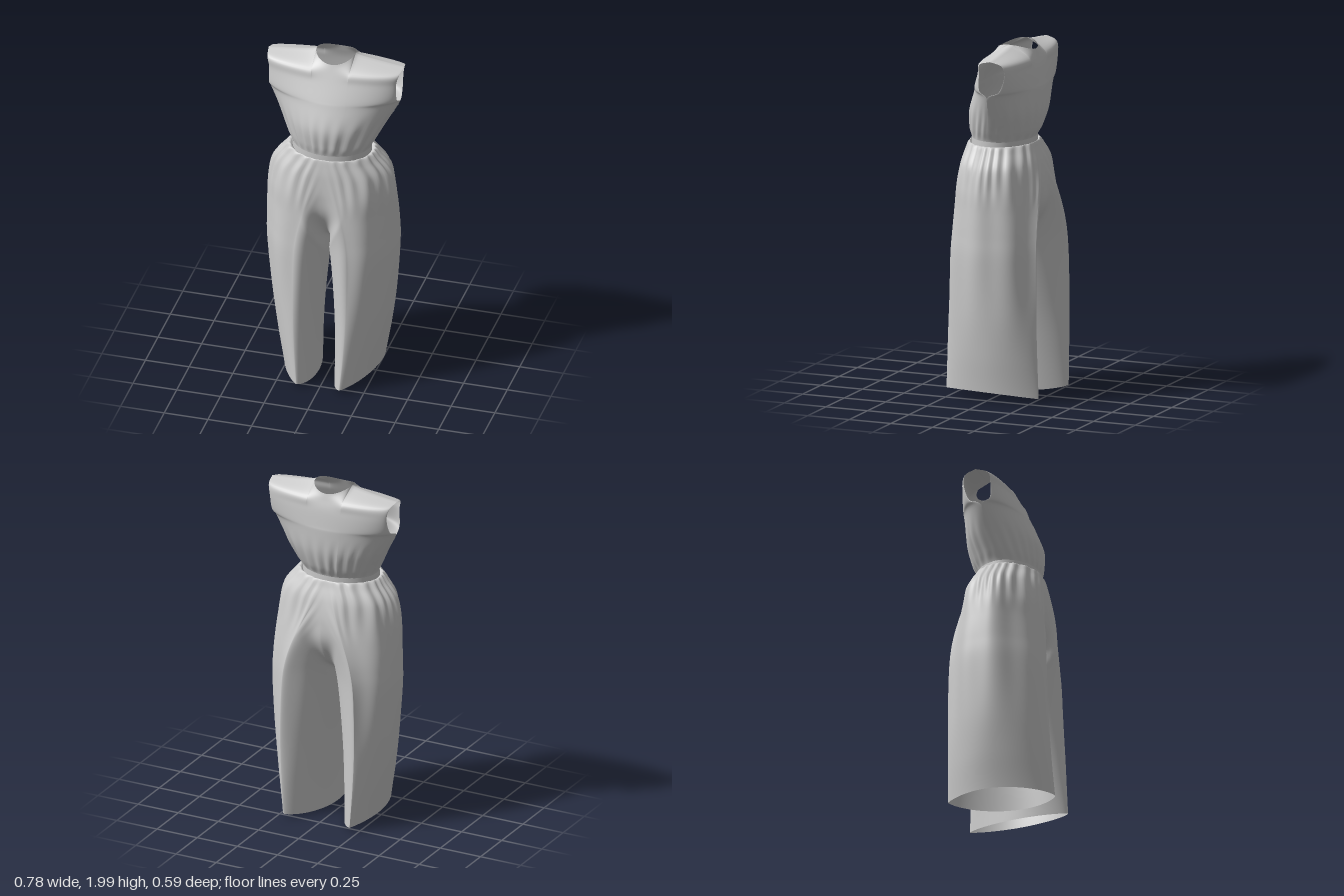
import * as THREE from 'three';
import { mergeVertices } from 'three/addons/utils/BufferGeometryUtils.js';

const cloth = new THREE.MeshStandardMaterial({ color: 0xcccccc, side: THREE.DoubleSide });
const { lerp, smoothstep } = THREE.MathUtils;

// Collects several point grids into one smooth, welded surface
class Surface {
  positions = [];
  indices = [];
  addGrid(nu, nv, point, flip = false, keep = () => true) {
    const base = this.positions.length / 3;
    const pts = [];
    for (let j = 0; j <= nv; j++)
      for (let i = 0; i <= nu; i++) {
        const p = point(i, j);
        pts.push(p);
        this.positions.push(p.x, p.y, p.z);
      }
    const tri = (a, b, c) => {
      if (!keep(pts[a], pts[b], pts[c])) return;
      this.indices.push(base + a, base + (flip ? c : b), base + (flip ? b : c));
    };
    for (let j = 0; j < nv; j++)
      for (let i = 0; i < nu; i++) {
        const a = j * (nu + 1) + i, b = a + 1, c = a + nu + 1, d = c + 1;
        tri(a, b, d);
        tri(a, d, c);
      }
  }
  mesh(name) {
    let g = new THREE.BufferGeometry();
    g.setAttribute('position', new THREE.Float32BufferAttribute(this.positions, 3));
    g.setIndex(this.indices);
    g = mergeVertices(g, 1e-4);
    g.computeVertexNormals();
    const m = new THREE.Mesh(g, cloth);
    m.name = name;
    return m;
  }
}

// Smooth interpolation between the rows of a table
function sampleRows(rows, t) {
  const k = Math.min(Math.floor(t), rows.length - 2), f = t - k;
  const row = (i) => rows[Math.max(0, Math.min(rows.length - 1, i))];
  return rows[k].map((_, c) => {
    const p0 = row(k - 1)[c], p1 = row(k)[c], p2 = row(k + 1)[c], p3 = row(k + 2)[c];
    const m1 = (p2 - p0) / 2, m2 = (p3 - p1) / 2, d = p1 - p2;
    return p1 + f * (m1 + f * (-3 * d - 2 * m1 - m2 + f * (2 * d + m1 + m2)));
  });
}

// Bodice: front and back panels, joined below the armholes and along the shoulders
function buildBodice() {
  // y, half width, front edge z, back edge z, front centre z, back centre z,
  // then the taper towards the sides: front, back
  const levels = [
    [1.42, 0.218, 0.0, 0.0, 0.17, -0.162, 1, 1],
    [1.46, 0.221, 0.0, 0.0, 0.175, -0.167, 1, 1],
    [1.52, 0.252, -0.005, -0.005, 0.186, -0.196, 1.15, 1],
    [1.62, 0.305, -0.03, -0.03, 0.184, -0.22, 1.3, 0.95],
    [1.74, 0.37, -0.05, -0.05, 0.138, -0.226, 1.35, 1.05],
    [1.78, 0.366, -0.003, -0.12, 0.12, -0.223, 1.4, 1.2],
    [1.87, 0.363, 0.0, -0.152, 0.075, -0.211, 1.4, 1.3],
    [1.93, 0.376, -0.01, -0.14, 0.046, -0.194, 1.4, 1.4],
  ];
  const underarm = 4, steps = 7, shoulderX = 0.388, neckX = 0.112, neckZ = -0.077;
  // Angles across a panel, finer along the neckline
  const angles = [], neckAngle = Math.asin(neckX / shoulderX);
  const outer = 26, inner = 24;
  for (let i = 0; i < outer; i++) angles.push(lerp(-Math.PI / 2, -neckAngle, i / outer));
  for (let i = 0; i <= inner; i++)
    angles.push(Math.asin((neckX / shoulderX) * Math.sin(lerp(-Math.PI / 2, Math.PI / 2, i / inner))));
  for (let i = 1; i <= outer; i++) angles.push(lerp(neckAngle, Math.PI / 2, i / outer));

  const surface = new Surface();
  for (const side of [1, -1]) {
    const columns = angles.map((a) => {
      const s = Math.sin(a), c = Math.max(0, Math.cos(a)), edge = Math.abs(s) > 0.9999;
      const pts = levels.map(([y, w, ef, eb, cf, cb, tf, tb]) => side > 0
        ? new THREE.Vector3(w * s, y, lerp(ef, cf, Math.pow(c, tf)))
        : new THREE.Vector3(-w * s, y, lerp(eb, cb, Math.pow(c, tb))));
      // top end: shoulder seam or neckline
      const x = side * shoulderX * s, q = Math.abs(x) / neckX;
      const dip = Math.sqrt(Math.max(0, 1 - q * q));
      const seam = Math.max(0, (Math.abs(x) - neckX) / (shoulderX - neckX));
      const top = q < 1 ? 1.995 - 0.032 * dip * dip : lerp(1.995, 1.952, Math.pow(seam, 0.7));
      pts.push(new THREE.Vector3(x, top, neckZ + side * 0.107 * dip));
      const curve = new THREE.CatmullRomCurve3(pts, false, 'catmullrom', 0.5);
      return { curve, pts, edge, c, a };
    });
    const nv = levels.length * steps;
    surface.addGrid(angles.length - 1, nv, (i, j) => {
      const { curve, pts, edge, c, a } = columns[i];
      const p = curve.getPoint(j / nv);
      const k = Math.floor(j / steps);
      if (edge && k < underarm) p.z = lerp(pts[k].z, pts[k + 1].z, j / steps - k);
      // gathers rising from the waist
      const fade = smoothstep(p.y, 1.45, 1.51) * (1 - smoothstep(p.y, 1.53, 1.72));
      const f = 1 + 0.022 * fade * Math.min(1, c * 2) * Math.sin(25 * a + 2 * Math.sin(3 * a + side));
      p.x *= f;
      p.z *= f;
      return p;
    });
  }
  return surface.mesh('bodice');
}

// Trousers: two wide legs that share the hips and part at the crotch
function buildTrousers() {
  // y, centre x, half width, front z, back z, skew of x along z, pointedness,
  // then the centre seam: front z, back z, width of the rounded body beside it
  const rows = [
    [1.425, 0.0, 0.22, 0.178, -0.168, 0, 1, 0.178, -0.168, 0.1],
    [1.436, 0.0, 0.242, 0.188, -0.178, 0, 1, 0.187, -0.177, 0.1],
    [1.4, 0.01, 0.262, 0.198, -0.196, 0, 1, 0.196, -0.19, 0.12],
    [1.32, 0.04, 0.29, 0.214, -0.225, -0.02, 1, 0.208, -0.218, 0.13],
    [1.2, 0.09, 0.267, 0.233, -0.248, -0.06, 1.1, 0.213, -0.24, 0.13],
    [1.08, 0.135, 0.23, 0.242, -0.261, -0.1, 1.25, 0.195, -0.235, 0.12],
    [0.95, 0.17, 0.198, 0.25, -0.27, -0.12, 1.3, 0.12, -0.16, 0.06],
    [0.8, 0.187, 0.18, 0.26, -0.275, -0.13, 1.3, 0, 0, 0.01],
    [0.5, 0.19, 0.151, 0.272, -0.282, -0.14, 1.3, 0, 0, 0.01],
    [0.25, 0.18, 0.125, 0.285, -0.287, -0.14, 1.3, 0, 0, 0.01],
    [0.035, 0.165, 0.105, 0.3, -0.29, -0.14, 1.4, 0, 0, 0.01],
  ];
  const nu = 144, steps = 8, nv = (rows.length - 1) * steps;
  const legPoint = (i, j) => {
    const [y, cx, rx, zf, zb, skew, pw, seamF, seamB, seamW] = sampleRows(rows, j / steps);
    const a = ((i % nu) / nu) * Math.PI * 2;
    const c = Math.cos(a), s = Math.sin(a);
    // fine gathers at the waist, long soft folds below
    const mask = smoothstep(c, -0.75, 0.1);
    const gathers = 0.028 * smoothstep(j, 1, 14) * smoothstep(y, 1.08, 1.38)
      * Math.sin(25 * a + 2 * Math.sin(4 * a));
    const folds = 0.03 * smoothstep(y, 0.25, 0.85) * (1 - smoothstep(y, 1.2, 1.42))
      * Math.sin(7 * a + 0.6 + 0.8 * Math.sin(2 * a));
    const f = 1 + mask * (gathers + folds);
    // the outside of the leg narrows more towards the back
    const taper = pw + (s < 0 && c > 0 ? 0.4 * (1 - smoothstep(y, 1.15, 1.4)) : 0);
    const dx = rx * Math.sign(c) * Math.pow(Math.abs(c), taper) * f;
    let z = (zf + zb) / 2 + ((zf - zb) / 2) * s * f;
    const x = Math.max(0, cx + dx + skew * z);
    // rounded belly and seat that meet in the centre seam
    z = lerp(z, s > 0 ? seamF : seamB, 1 - smoothstep(x, 0, Math.max(0.002, seamW)));
    // the hem rises towards the outside
    const hem = 0.24 * dx * (1 - smoothstep(y, 0.03, 0.3));
    return new THREE.Vector3(x, y + hem, z);
  };
  const keep = (...t) => t.some((p) => Math.abs(p.x) > 1e-4);
  const surface = new Surface();
  for (const side of [1, -1])
    surface.addGrid(nu, nv, (i, j) => {
      const p = legPoint(i, j);
      p.x *= side;
      return p;
    }, side < 0, keep);
  return surface.mesh('trousers');
}

// Waistband: a narrow oval band
function buildWaistband() {
  const band = new THREE.Mesh(new THREE.CylinderGeometry(1, 1, 0.04, 72, 1, true), cloth);
  band.scale.set(0.222, 1, 0.173);
  band.position.set(0, 1.442, 0.004);
  band.name = 'waistband';
  return band;
}

export function createModel() {
  const group = new THREE.Group();
  group.name = 'jumpsuit';
  group.add(buildBodice(), buildWaistband(), buildTrousers());
  return group;
}
